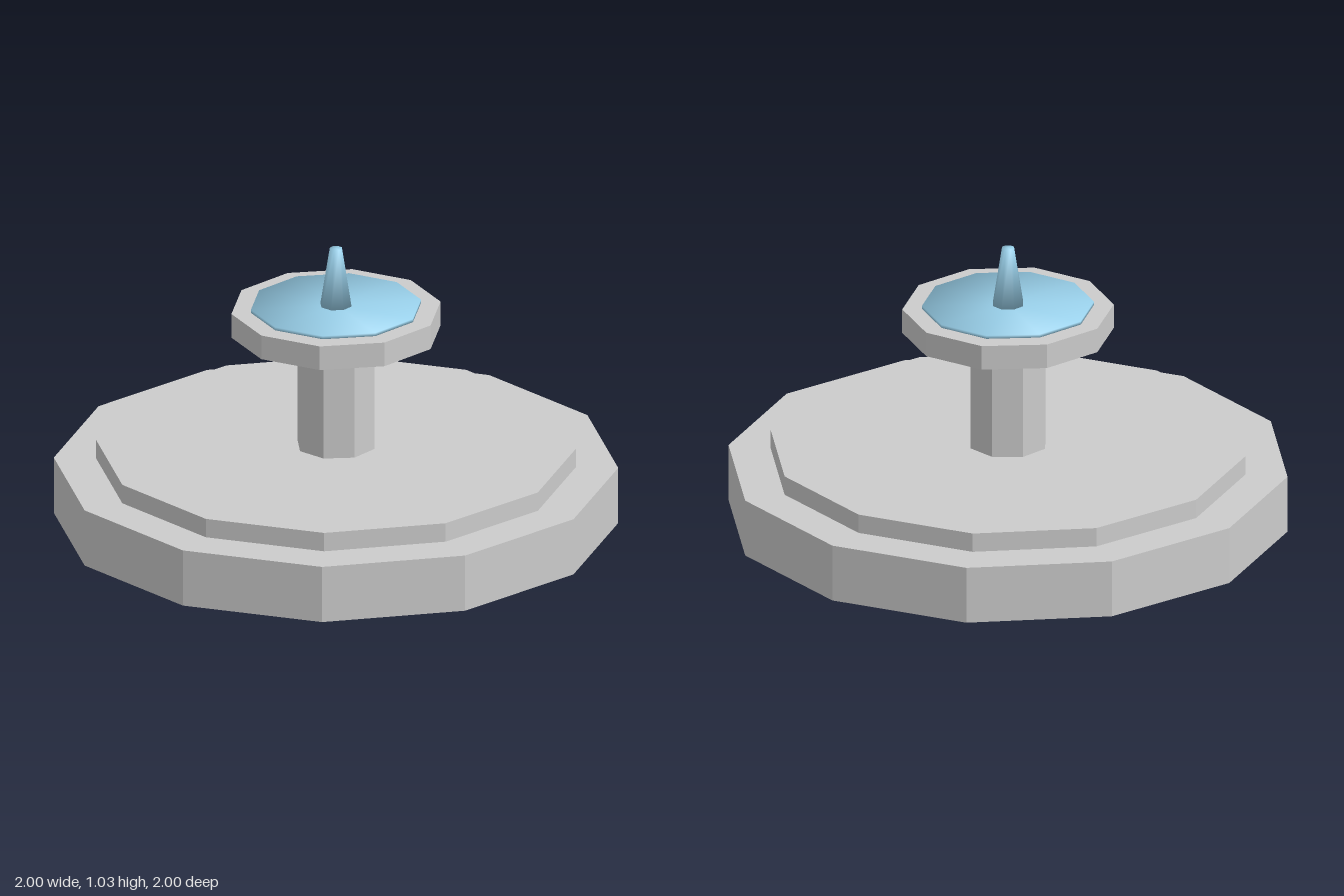
import * as THREE from 'three';

const stone = new THREE.MeshStandardMaterial({ color: 0xcccccc, flatShading: true });
const water = new THREE.MeshStandardMaterial({ color: 0x99d0ea });

// Upright faceted drum or cone between two heights
function drum(name, rTop, rBottom, y0, y1, sides, material) {
  const geometry = new THREE.CylinderGeometry(rTop, rBottom, y1 - y0, sides);
  const mesh = new THREE.Mesh(geometry, material);
  mesh.name = name;
  mesh.position.y = (y0 + y1) / 2;
  return mesh;
}

// Blend the shading over the rim so that caps and sides read as one soft surface
function softenRim(mesh) {
  const { position, normal } = mesh.geometry.attributes;
  const n = new THREE.Vector3();
  for (let i = 0; i < position.count; i++) {
    n.set(position.getX(i), 0, position.getZ(i));
    if (n.length() > 1e-4) n.normalize();
    n.y = Math.sign(position.getY(i));
    n.normalize();
    normal.setXYZ(i, n.x, n.y, n.z);
  }
  return mesh;
}

export function createModel() {
  const fountain = new THREE.Group();
  fountain.name = 'fountain';

  // Stepped twelve-sided base
  fountain.add(drum('base', 1, 1, 0, 0.21, 12, stone));
  fountain.add(drum('baseStep', 0.85, 0.85, 0.21, 0.28, 12, stone));

  // Octagonal column carrying the ten-sided basin
  fountain.add(drum('column', 0.143, 0.143, 0.28, 0.71, 8, stone));
  fountain.add(drum('basin', 0.375, 0.375, 0.71, 0.8, 10, stone));

  // Water surface and the jet rising from it
  fountain.add(softenRim(drum('waterSurface', 0.305, 0.305, 0.8, 0.812, 10, water)));
  fountain.add(softenRim(drum('waterJet', 0.023, 0.058, 0.812, 1.027, 8, water)));

  return fountain;
}
